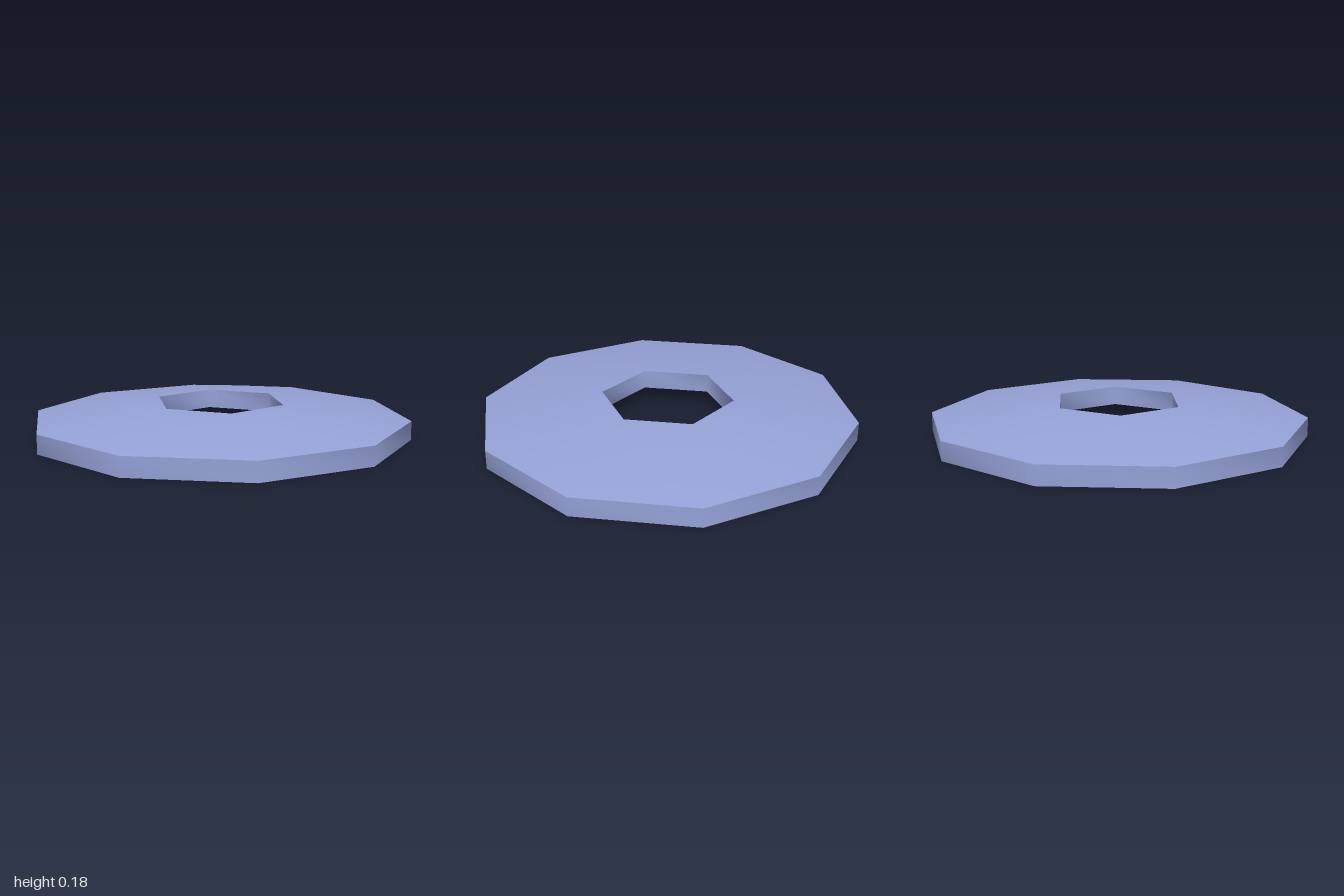
import * as THREE from 'three';
import { toCreasedNormals } from 'three/addons/utils/BufferGeometryUtils.js';

const THICKNESS = 0.1;

// Ring of n corners; angles run from +z towards +x
function ring(n, radius, y, phase = 0) {
  const angle = i => phase + (i / n) * Math.PI * 2;
  const point = i => {
    const a = angle(i % n);
    return [radius * Math.sin(a), y, radius * Math.cos(a)];
  };
  return { n, angle, point };
}

// Stitch two rings of any corner count, always advancing the one that lags
function stitch(a, b, out) {
  let i = 0, j = 0;
  while (i < a.n || j < b.n) {
    const stepA = j === b.n || (i < a.n && a.angle(i + 1) <= b.angle(j + 1) + 1e-6);
    if (stepA) {
      out.push(...a.point(i), ...a.point(i + 1), ...b.point(j));
      i++;
    } else {
      out.push(...a.point(i), ...b.point(j + 1), ...b.point(j));
      j++;
    }
  }
}

// Domed sheet from the ten-sided rim in to the six-sided hole
const sheet = y => [
  ring(10, 1, y),
  ring(10, 0.675, y + 0.05, Math.PI / 10),
  ring(6, 0.35, y + 0.08),
];

export function createModel() {
  // Closed shell of even thickness: domed top, bore, hollow underside, rim wall
  const rings = [...sheet(THICKNESS), ...sheet(0).reverse()];
  const positions = [];
  rings.forEach((r, k) => stitch(r, rings[(k + 1) % rings.length], positions));

  const geometry = new THREE.BufferGeometry();
  geometry.setAttribute('position', new THREE.Float32BufferAttribute(positions, 3));

  const disc = new THREE.Mesh(
    toCreasedNormals(geometry, 1.1),
    new THREE.MeshStandardMaterial({ color: 0x97a3d9 })
  );
  disc.name = 'domedDisc';

  const group = new THREE.Group();
  group.name = 'discWithHexagonalHole';
  group.add(disc);
  return group;
}
